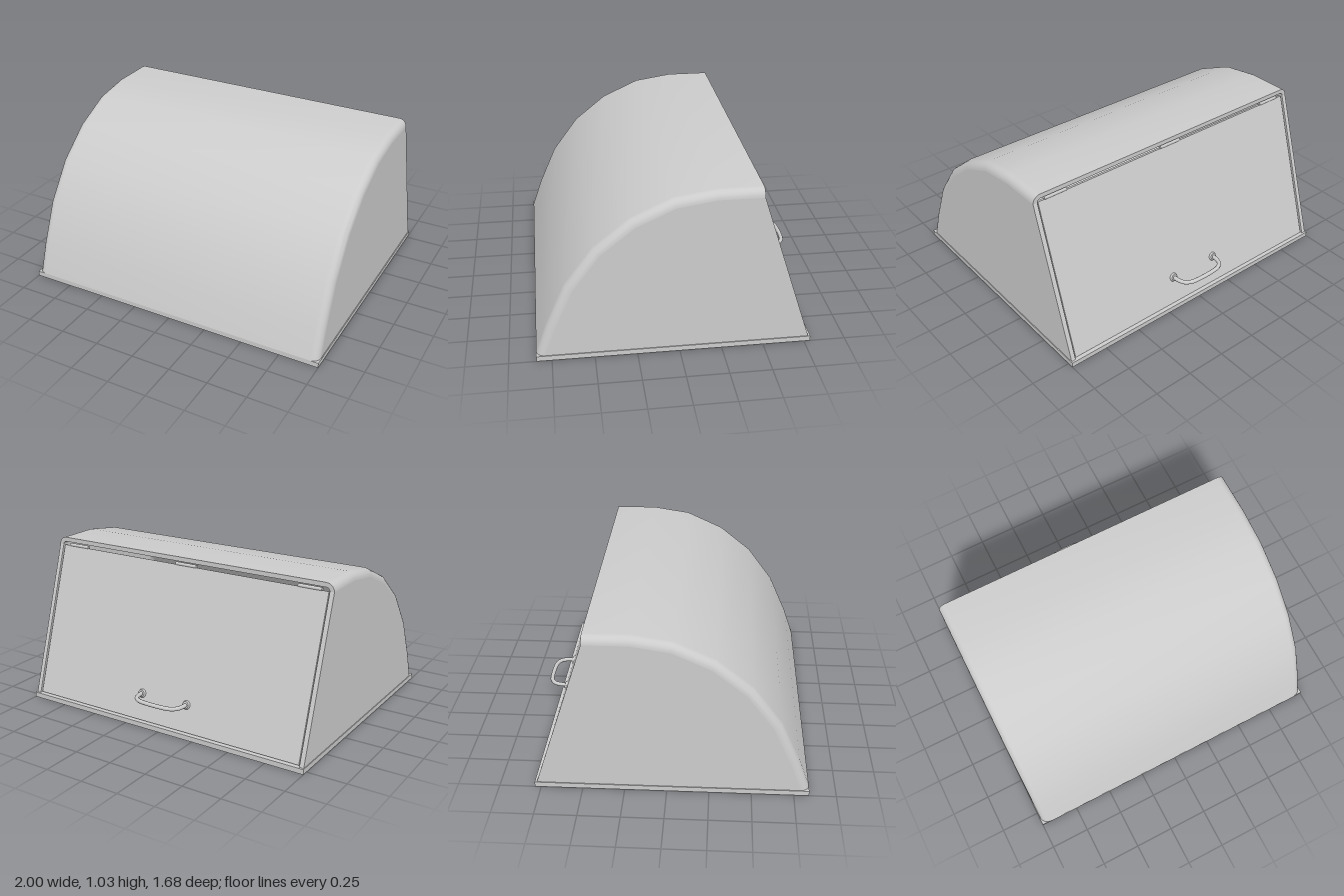
import * as THREE from 'three';
import { toCreasedNormals } from 'three/addons/utils/BufferGeometryUtils.js';

const W = 0.995;      // half width of the body
const T = 0.028;      // sheet thickness
const R = 0.05;       // edge rounding
const BASE = 0.032;   // base height

// Arched profile from the front foot up to the back edge, as (z, y)
const PROFILE = [
  [0.84, BASE], [0.775, 0.22], [0.66, 0.48], [0.49, 0.71],
  [0.28, 0.88], [0.04, 0.99], [-0.2, 1.027], [-0.467, 1.027],
];
const BACK_FOOT = [-0.775, BASE];
const BACK_TOP = [-0.467, 1.027 - R];

const material = new THREE.MeshStandardMaterial({ color: 0xcccccc, side: THREE.DoubleSide });

function add(parent, name, geometry) {
  const mesh = new THREE.Mesh(geometry, material);
  mesh.name = name;
  parent.add(mesh);
  return mesh;
}

// Profile point moved inwards by a distance
function inset(i, distance) {
  const last = PROFILE.length - 1;
  const [z, y] = PROFILE[i];
  if (i === 0) return [z - distance, y];
  if (i === last) return [z, y - distance];
  const [az, ay] = PROFILE[i - 1];
  const [bz, by] = PROFILE[i + 1];
  const length = Math.hypot(bz - az, by - ay);
  return [z - ((by - ay) / length) * distance, y + ((bz - az) / length) * distance];
}

// One U-shaped strip across the hood: pairs of (x, inset) with rounded ends
function strip(radius, halfWidth, offset) {
  const steps = 6;
  const points = [];
  for (const side of [-1, 1]) {
    for (let i = 0; i <= steps; i++) {
      const a = ((side < 0 ? i : steps - i) / steps) * Math.PI / 2;
      points.push([side * (halfWidth - radius + radius * Math.cos(a)), offset + radius - radius * Math.sin(a)]);
    }
  }
  return points;
}

// Curved hood: closed outer and inner strip swept along the profile
function hoodGeometry() {
  const outer = strip(R, W, 0);
  const inner = strip(R - T, W - T, T);
  const loop = [...outer, ...inner.slice().reverse()];
  const n = loop.length;
  const positions = [];
  const index = [];
  PROFILE.forEach((_, i) => {
    for (const [x, d] of loop) {
      const [z, y] = inset(i, d);
      positions.push(x, y, z);
    }
  });
  for (let i = 0; i < PROFILE.length - 1; i++) {
    for (let j = 0; j < n; j++) {
      const a = i * n + j;
      const b = i * n + ((j + 1) % n);
      index.push(a, b, a + n, b, b + n, a + n);
    }
  }
  // Rim facing the back opening
  const start = (PROFILE.length - 1) * n;
  for (let j = 0; j < outer.length - 1; j++) {
    const a = start + j;
    const c = start + n - 1 - j;
    index.push(a, a + 1, c, a + 1, c - 1, c);
  }
  const geometry = new THREE.BufferGeometry();
  geometry.setAttribute('position', new THREE.Float32BufferAttribute(positions, 3));
  geometry.setIndex(index);
  return toCreasedNormals(geometry, Math.PI / 5);
}

export function createModel() {
  const model = new THREE.Group();
  model.name = 'breadBox';

  // Base board
  const base = add(model, 'base', new THREE.BoxGeometry(2, BASE, 1.628));
  base.position.set(0, BASE / 2, 0.026);

  add(model, 'hood', hoodGeometry());

  // Flat side walls inside the rounded edge
  const outline = [...PROFILE.map((_, i) => inset(i, R)), BACK_TOP, BACK_FOOT];
  const wallShape = new THREE.Shape(outline.map(([z, y]) => new THREE.Vector2(z, y)));
  for (const [name, x] of [['leftWall', W], ['rightWall', -W + T]]) {
    const wall = new THREE.ExtrudeGeometry(wallShape, { depth: T, bevelEnabled: false });
    wall.rotateY(-Math.PI / 2);
    wall.translate(x, 0, 0);
    add(model, name, wall);
  }

  // Sloping door, hinged along its upper edge
  const rise = BACK_TOP[1] - BACK_FOOT[1];
  const run = BACK_TOP[0] - BACK_FOOT[0];
  const slope = Math.atan2(run, rise);
  const height = Math.hypot(rise, run);
  const doorGroup = new THREE.Group();
  doorGroup.name = 'doorAssembly';
  doorGroup.position.set(0, BACK_FOOT[1], BACK_FOOT[0]);
  doorGroup.rotation.x = slope;
  model.add(doorGroup);

  const door = add(doorGroup, 'door', new THREE.BoxGeometry(2 * (W - T - 0.008), height - 0.008, 0.024));
  door.position.set(0, height / 2 + 0.004, 0.018);

  for (const x of [-0.84, 0, 0.84]) {
    const hinge = add(doorGroup, 'hinge', new THREE.CylinderGeometry(0.011, 0.011, 0.15, 12));
    hinge.rotation.z = Math.PI / 2;
    hinge.position.set(x, height + 0.006, 0.012);
  }

  // Bow handle with a round foot at each end
  const handleY = 0.195;
  const doorZ = BACK_FOOT[0] + run * (handleY - BASE) / rise;
  const half = [[0.165, doorZ + 0.01], [0.163, -0.755], [0.148, -0.795], [0.112, -0.82], [0.06, -0.828]];
  const path = [...half, ...half.slice().reverse().map(([x, z]) => [-x, z])]
    .map(([x, z]) => new THREE.Vector3(x, handleY, z));
  add(model, 'handle', new THREE.TubeGeometry(new THREE.CatmullRomCurve3(path), 48, 0.013, 12));
  for (const x of [-0.165, 0.165]) {
    const foot = add(model, 'handleFoot', new THREE.CylinderGeometry(0.022, 0.028, 0.014, 20));
    foot.rotation.x = slope - Math.PI / 2;
    foot.position.set(x, handleY, doorZ);
  }

  return model;
}
